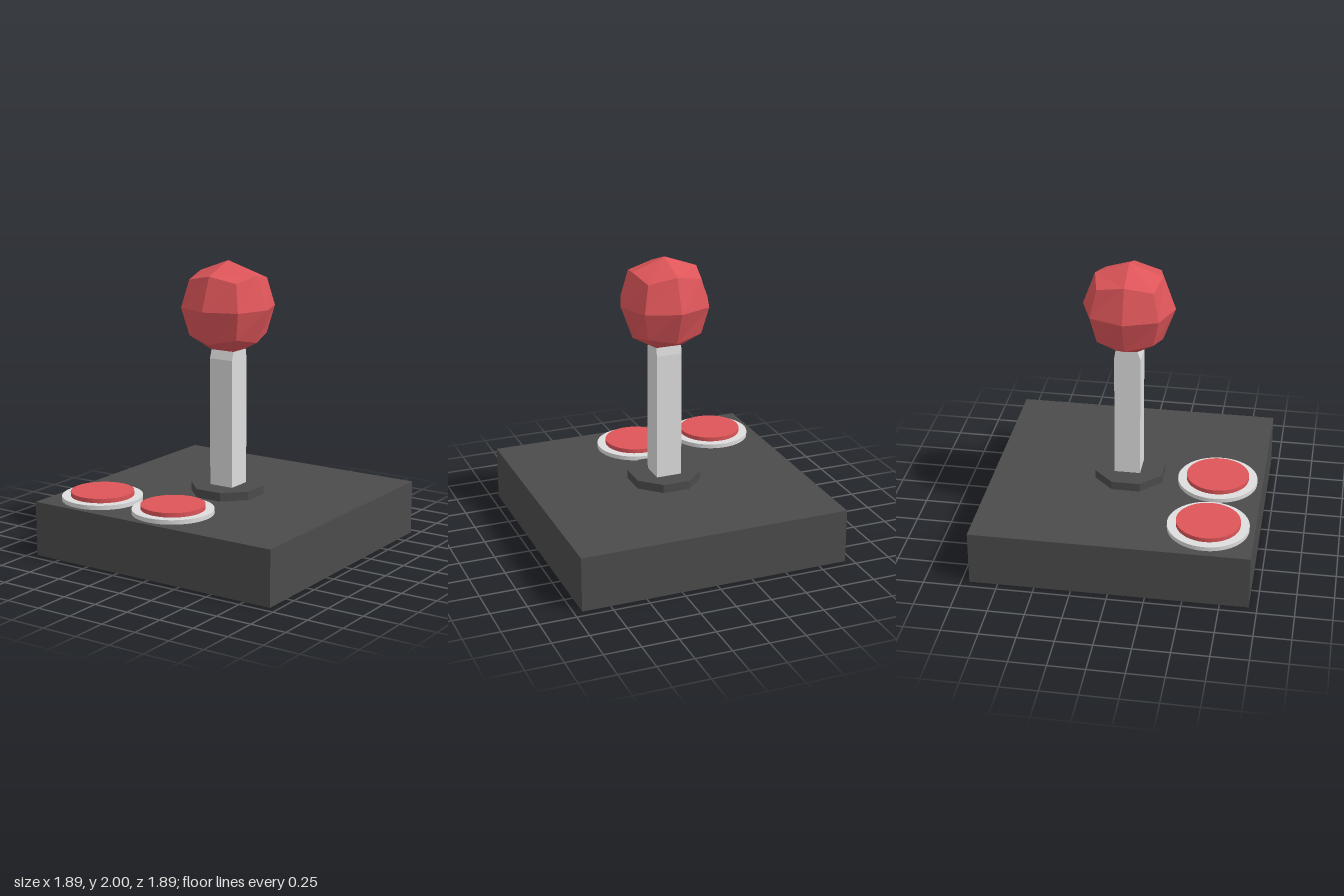
import * as THREE from 'three';

const material = (name, color) => {
  const m = new THREE.MeshStandardMaterial({ color, flatShading: true });
  m.name = name;
  return m;
};

export function createModel() {
  const group = new THREE.Group();
  const dark = material('darkGrey', 0x4b4b4b);
  const grey = material('lightGrey', 0xdddddd);
  const red = material('red', 0xdd5559);

  const add = (name, geometry, mat, x = 0, y = 0, z = 0, parent = group) => {
    const mesh = new THREE.Mesh(geometry, mat);
    mesh.name = name;
    mesh.position.set(x, y, z);
    parent.add(mesh);
    return mesh;
  };

  // Base box and octagonal collar
  add('base', new THREE.BoxGeometry(1.89, 0.38, 1.89), dark, 0, 0.19, 0);
  const collar = new THREE.CylinderGeometry(0.255, 0.255, 0.06, 8).rotateY(Math.PI / 8);
  add('collar', collar, dark, 0, 0.41, 0.01);

  // Square stick, pinched front to back just under the ball
  const stickGeo = new THREE.BoxGeometry(0.18, 2, 0.18, 1, 2, 1);
  const p = stickGeo.attributes.position;
  for (let i = 0; i < p.count; i++) {
    const level = Math.round(p.getY(i));
    p.setY(i, [0.38, 1.33, 1.39][level + 1]);
    if (level === 1) p.setZ(i, p.getZ(i) > 0 ? 0.07 : -0.08);
  }
  add('stick', stickGeo, grey);

  // Ball: a rounded 2x2x2 box whose underside closes onto the stick
  const ball = new THREE.Group();
  ball.name = 'ball';
  ball.position.y = 1.685;
  group.add(ball);
  const radius = [0, 0.315, 0.23, 0.19];
  const ballGeo = new THREE.BoxGeometry(2, 2, 2, 2, 2, 2);
  const b = ballGeo.attributes.position;
  for (let i = 0; i < b.count; i++) {
    const v = new THREE.Vector3().fromBufferAttribute(b, i).round();
    const n = Math.abs(v.x) + Math.abs(v.y) + Math.abs(v.z);
    v.multiplyScalar(radius[n]);
    b.setXYZ(i, v.x, v.y, v.z);
  }
  const index = Array.from(ballGeo.index.array);
  index.splice(72, 24); // open the bottom face
  ballGeo.setIndex(index);
  ballGeo.clearGroups();
  ballGeo.computeVertexNormals();
  add('ballShell', ballGeo, red, 0, 0, 0, ball);

  // Underside of the ball, from its lower rim in to the stick
  const signs = [[1, 1], [1, -1], [-1, -1], [-1, 1]];
  const outer = ([x, z]) => [x * 0.19, -0.19, z * 0.19];
  const inner = ([x, z]) => [x * 0.09, -0.295, z > 0 ? 0.07 : -0.08];
  const verts = [];
  signs.forEach((s, i) => {
    const t = signs[(i + 1) % 4];
    const mid = [(s[0] + t[0]) * 0.115, -0.23, (s[1] + t[1]) * 0.115];
    verts.push(...outer(s), ...inner(s), ...mid);
    verts.push(...mid, ...inner(s), ...inner(t));
    verts.push(...mid, ...inner(t), ...outer(t));
  });
  const under = new THREE.BufferGeometry();
  under.setAttribute('position', new THREE.Float32BufferAttribute(verts, 3));
  under.computeVertexNormals();
  add('ballUnderside', under, red, 0, 0, 0, ball);

  // Two push buttons in grey rings
  for (const x of [-0.615, -0.02]) {
    const button = new THREE.Group();
    button.name = 'button';
    button.position.set(x, 0, 0.63);
    group.add(button);
    add('buttonRing', new THREE.CylinderGeometry(0.277, 0.277, 0.03, 64), grey, 0, 0.395, 0, button);
    add('buttonCap', new THREE.CylinderGeometry(0.217, 0.217, 0.06, 64), red, 0, 0.41, 0, button);
  }

  return group;
}
